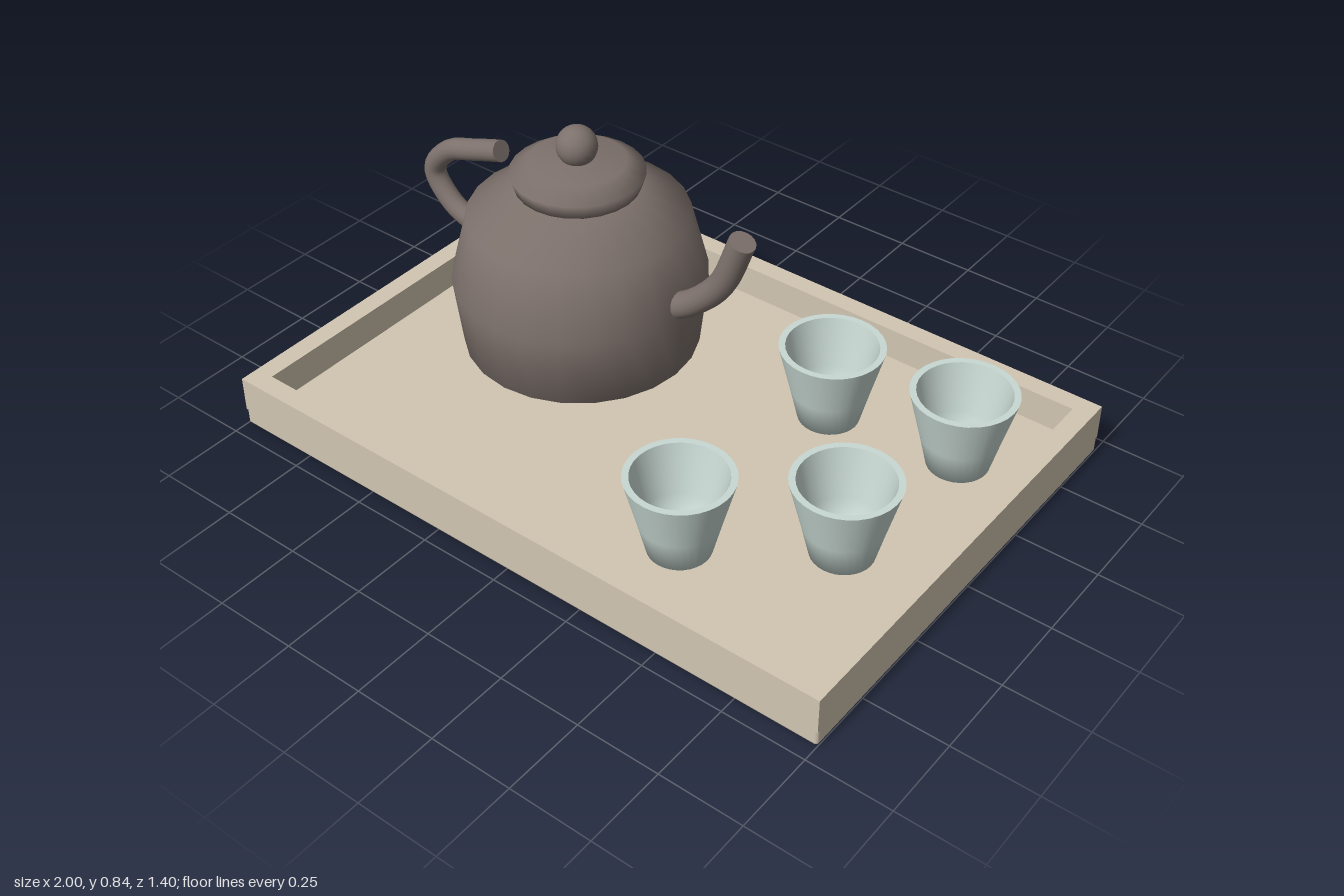
import * as THREE from 'three';
import { RoundedBoxGeometry } from 'three/addons/geometries/RoundedBoxGeometry.js';

const clay = new THREE.MeshStandardMaterial({ color: 0x7d716c });
const wood = new THREE.MeshStandardMaterial({ color: 0xd2c6b2 });
const glaze = new THREE.MeshStandardMaterial({ color: 0xc8d8d2, side: THREE.DoubleSide });

const FLOOR = 0.06; // top of the tray base

function add(parent, name, geometry, material, x = 0, y = 0, z = 0) {
  const mesh = new THREE.Mesh(geometry, material);
  mesh.name = name;
  mesh.position.set(x, y, z);
  parent.add(mesh);
  return mesh;
}

function lathe(points, segments) {
  return new THREE.LatheGeometry(points.map(([r, y]) => new THREE.Vector2(r, y)), segments);
}

// Round bar along a path in the xy plane, closed at both ends
function addBar(parent, name, points, radius) {
  const bar = new THREE.Group();
  bar.name = name;
  const path = new THREE.CatmullRomCurve3(points.map(([x, y]) => new THREE.Vector3(x, y, 0)));
  add(bar, name + 'Tube', new THREE.TubeGeometry(path, 32, radius, 16), clay);
  for (const [t, sign] of [[0, -1], [1, 1]]) {
    const end = path.getPointAt(t);
    const cap = add(bar, name + 'End', new THREE.CircleGeometry(radius, 16), clay, end.x, end.y, end.z);
    cap.quaternion.setFromUnitVectors(
      new THREE.Vector3(0, 0, 1), path.getTangentAt(t).multiplyScalar(sign));
  }
  parent.add(bar);
}

function createTray() {
  const tray = new THREE.Group();
  tray.name = 'tray';
  add(tray, 'trayBase', new RoundedBoxGeometry(2, FLOOR, 1.4, 3, 0.01), wood, 0, FLOOR / 2, 0);

  // Raised rim: a rectangle with a rectangular opening
  const rectangle = (target, x, z) =>
    target.moveTo(-x, -z).lineTo(x, -z).lineTo(x, z).lineTo(-x, z).closePath();
  const shape = rectangle(new THREE.Shape(), 1, 0.7);
  shape.holes.push(rectangle(new THREE.Path(), 0.94, 0.64));
  const rim = new THREE.ExtrudeGeometry(shape, { depth: 0.11, bevelEnabled: false });
  rim.rotateX(-Math.PI / 2);
  add(tray, 'trayRim', rim, wood, 0, 0.05, 0);
  return tray;
}

function createTeapot() {
  const pot = new THREE.Group();
  pot.name = 'teapot';
  pot.position.set(-0.4, 0, -0.1);

  add(pot, 'potBody', lathe([
    [0, FLOOR + 0.001], [0.23, FLOOR + 0.001], [0.35, 0.14],
    [0.375, 0.36], [0.323, 0.565], [0.18, 0.655], [0, 0.66],
  ], 24), clay);
  add(pot, 'lid', lathe([
    [0, 0.64], [0.18, 0.652], [0.195, 0.7], [0.14, 0.734], [0, 0.742],
  ], 24), clay);
  add(pot, 'lidKnob', new THREE.SphereGeometry(0.06, 20, 14), clay, 0, 0.78, 0);

  // Spout on the model's left, handle with a free upper end on its right
  addBar(pot, 'spout', [[0.33, 0.375], [0.41, 0.425], [0.507, 0.53], [0.574, 0.695]], 0.039);
  addBar(pot, 'handle', [
    [-0.29, 0.652], [-0.4, 0.615], [-0.5, 0.575],
    [-0.567, 0.487], [-0.5, 0.39], [-0.375, 0.342], [-0.33, 0.33],
  ], 0.033);
  return pot;
}

// Open tapered cup with a thin wall and an inner floor
function createCup(x, z) {
  const cup = new THREE.Group();
  cup.name = 'cup';
  cup.position.set(x, FLOOR, z);
  add(cup, 'cupOutside', lathe([[0, 0.002], [0.09, 0.002], [0.115, 0.105], [0.152, 0.25]], 32), glaze);
  add(cup, 'cupLip', new THREE.RingGeometry(0.133, 0.152, 32), glaze, 0, 0.25, 0).rotation.x = -Math.PI / 2;
  add(cup, 'cupInside', lathe([[0.133, 0.25], [0.1, 0.105], [0.075, 0.025], [0, 0.02]], 32), glaze);
  return cup;
}

export function createModel() {
  const model = new THREE.Group();
  model.name = 'teaSet';
  model.add(createTray(), createTeapot());
  for (const [x, z] of [[0.35, -0.3], [0.75, -0.35], [0.7, 0.15], [0.35, 0.4]]) {
    model.add(createCup(x, z));
  }
  return model;
}
